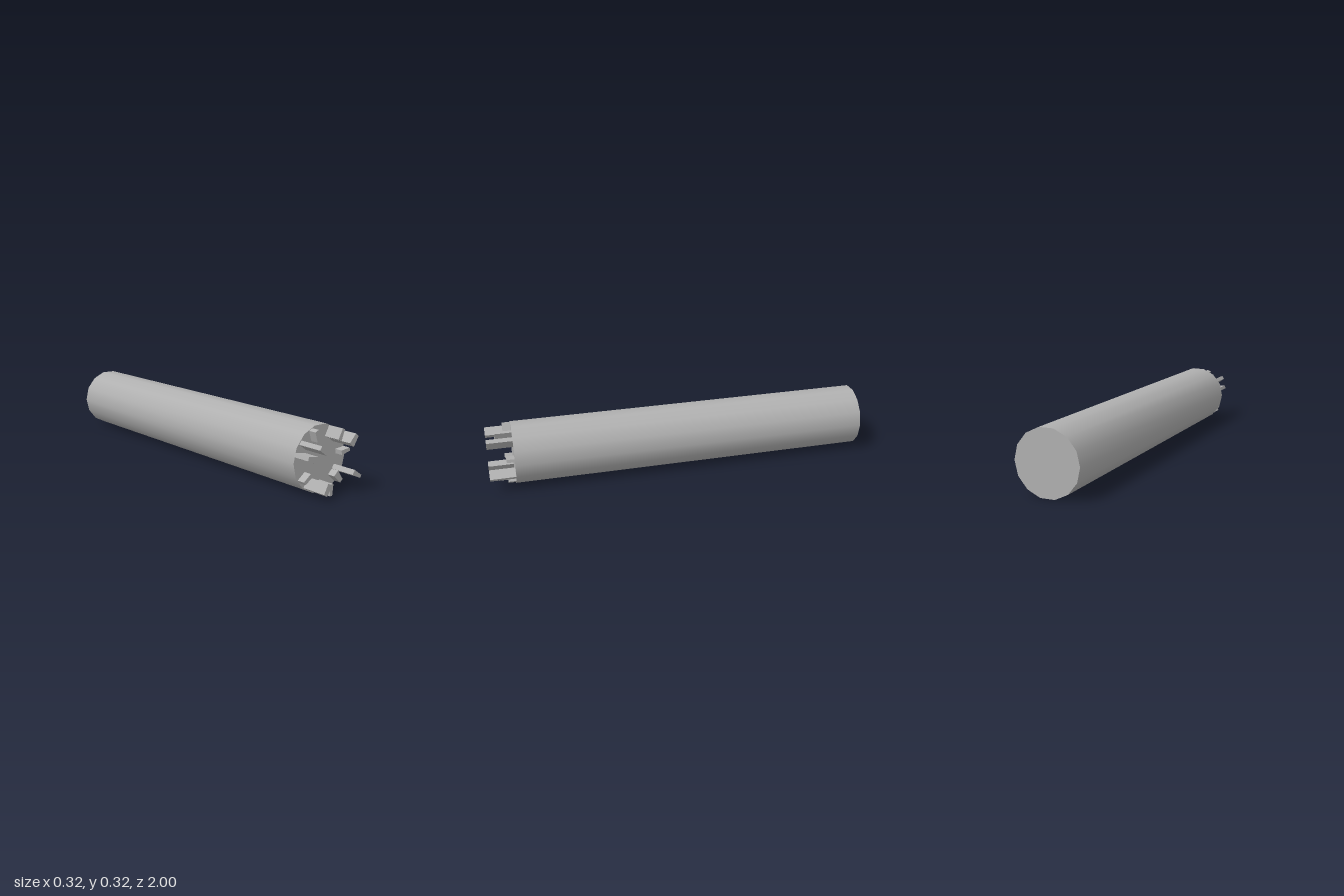
import * as THREE from 'three';

const RADIUS = 0.162, CENTRE_Y = 0.158, FRONT = 0.87;

// Each tooth, counter-clockwise from the left side: outer x, y, inner x, y, outer width, inner width
const TEETH = [
  [0.154, 0.185, 0.101, 0.176, 0.016, 0.022],
  [0.101, 0.279, 0.068, 0.236, 0.022, 0.033],
  [0.061, 0.303, 0.039, 0.253, 0.014, 0.022],
  [-0.062, 0.301, -0.041, 0.254, 0.022, 0.033],
  [-0.124, 0.250, -0.083, 0.221, 0.022, 0.023],
  [-0.154, 0.197, -0.100, 0.183, 0.019, 0.033],
  [-0.129, 0.070, -0.086, 0.100, 0.016, 0.023],
  [-0.088, 0.029, -0.059, 0.074, 0.021, 0.032],
  [-0.006, 0.001, -0.005, 0.056, 0.014, 0.023],
  [0.106, 0.042, 0.069, 0.083, 0.021, 0.034],
  [0.135, 0.079, 0.0875, 0.106, 0.015, 0.025],
];
// Tooth lengths repeat in threes: short, long, medium
const TIPS = [0.91, 1.0, 0.955];

// Wedge-shaped tooth: trapezoid section extruded forward from the end face
function toothGeometry([ox, oy, ix, iy, outerWidth, innerWidth], tip) {
  const outer = new THREE.Vector2(ox, oy), inner = new THREE.Vector2(ix, iy);
  const dir = outer.clone().sub(inner).normalize();
  const side = new THREE.Vector2(-dir.y, dir.x);
  const corner = (p, w) => p.clone().addScaledVector(side, w / 2);
  const shape = new THREE.Shape([
    corner(inner, -innerWidth), corner(outer, -outerWidth),
    corner(outer, outerWidth), corner(inner, innerWidth),
  ]);
  const start = FRONT - 0.005;
  return new THREE.ExtrudeGeometry(shape, { depth: tip - start, bevelEnabled: false })
    .translate(0, 0, start);
}

export function createModel() {
  const model = new THREE.Group();
  model.name = 'toothedRod';
  const grey = new THREE.MeshStandardMaterial({ color: 0xb0b0b0 });
  grey.name = 'grey';

  // Long fourteen-sided shaft lying along z
  const length = FRONT + 1;
  const shaft = new THREE.Mesh(
    new THREE.CylinderGeometry(RADIUS, RADIUS, length, 14, 1, false, Math.PI / 2)
      .rotateX(Math.PI / 2)
      .translate(0, CENTRE_Y, FRONT - length / 2),
    grey);
  shaft.name = 'shaft';
  model.add(shaft);

  // Ring of teeth on the front end
  const teeth = new THREE.Group();
  teeth.name = 'teeth';
  TEETH.forEach((tooth, i) => {
    const mesh = new THREE.Mesh(toothGeometry(tooth, TIPS[i % 3]), grey);
    mesh.name = `tooth${i + 1}`;
    teeth.add(mesh);
  });
  model.add(teeth);
  return model;
}
